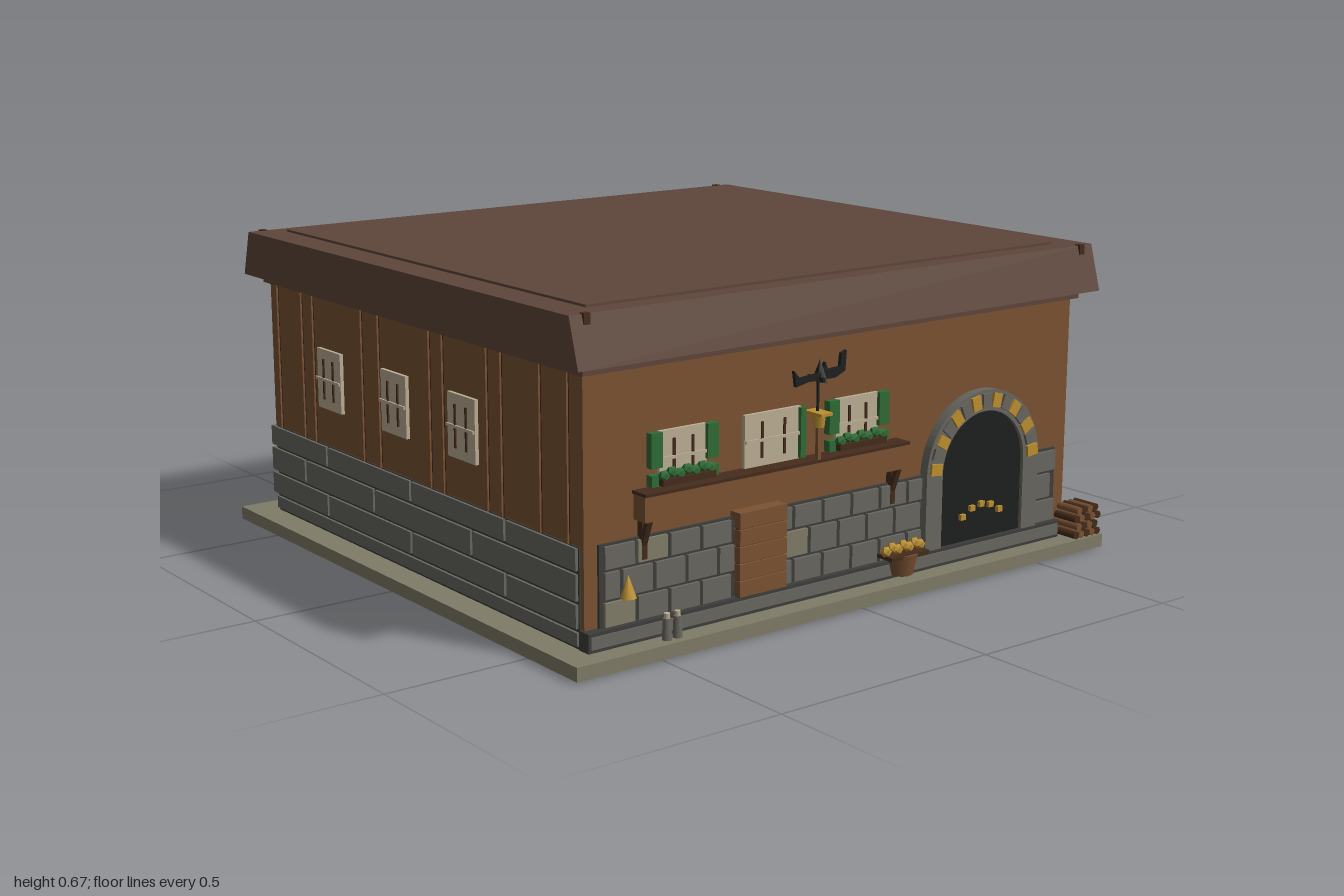
import * as THREE from 'three';

const mat = (name, color) => Object.assign(new THREE.MeshStandardMaterial({ color }), { name });
const M = {
  wood: mat('wall wood', 0x7a5232), dark: mat('dark wood', 0x452c1c), roof: mat('roof brown', 0x5e463a),
  slab: mat('ground stone', 0x807c68), stone: mat('grey stone', 0x686761), mortar: mat('mortar', 0x3d3d3b),
  cream: mat('cream pane', 0xbcae94), green: mat('leaf green', 0x2f6b35), gold: mat('gold', 0xbd9030),
  black: mat('black iron', 0x1e1f1f),
};

function add(parent, name, geo, m, x = 0, y = 0, z = 0) {
  const mesh = new THREE.Mesh(geo, m);
  mesh.name = name;
  mesh.position.set(x, y, z);
  parent.add(mesh);
  return mesh;
}
// Box given by its low and high limits on each axis
function box(parent, name, m, x0, x1, y0, y1, z0, z1) {
  return add(parent, name, new THREE.BoxGeometry(x1 - x0, y1 - y0, z1 - z0), m,
    (x0 + x1) / 2, (y0 + y1) / 2, (z0 + z1) / 2);
}
function group(parent, name) {
  const g = new THREE.Group();
  g.name = name;
  parent.add(g);
  return g;
}
const flat = (pts) => new THREE.Shape(pts.map((p) => new THREE.Vector2(...p)));
const ROWS = [[0.07, 0.116], [0.123, 0.174], [0.181, 0.224]];

// Multi-pane window on the local z = 0 plane
function paneWindow(parent, x, y, w, h) {
  const g = group(parent, 'window');
  g.position.set(x, y, 0);
  box(g, 'windowPane', M.cream, -w / 2, w / 2, -h / 2, h / 2, -0.01, 0.008);
  for (const s of [-0.2, 0.2]) {
    box(g, 'mullion', M.dark, s * w - 0.0025, s * w + 0.0025, -h * 0.34, h * 0.34, 0.008, 0.011);
  }
  box(g, 'crossBar', M.cream, -w / 2, w / 2, -0.003, 0.003, 0.009, 0.013);
  return g;
}

// Plank wall with stone footing; local z = 0 is the wall face
function sideWall(parent, name, half, rotation, distance) {
  const g = group(parent, name);
  g.rotation.y = rotation;
  g.position.set(Math.sin(rotation) * distance, 0, Math.cos(rotation) * distance);
  box(g, 'mortarBand', M.mortar, -half, half, 0.03, 0.226, -0.02, 0.003);
  ROWS.forEach(([y0, y1], r) => {
    const cuts = r % 2 ? [-half, -0.45, -0.15, 0.23, half] : [-half, -0.35, 0, 0.35, half];
    for (let i = 0; i < 4; i++) {
      box(g, 'stoneBlock', M.stone, cuts[i] + 0.004, cuts[i + 1] - 0.004, y0, y1, -0.01, 0.009);
    }
  });
  box(g, 'plinthStone', M.stone, -half, half, 0.037, 0.063, -0.01, 0.009);
  for (const x of [-0.57, -0.46, -0.41, -0.2, -0.13, 0.07, 0.12, 0.28, 0.33, 0.46, 0.55]) {
    box(g, 'wallBatten', M.wood, x - 0.009, x + 0.009, 0.226, 0.56, -0.01, 0.007);
    box(g, 'plankSeam', M.dark, x + 0.009, x + 0.012, 0.226, 0.56, -0.01, 0.003);
  }
  const order = rotation < 0 ? -1 : 1;
  for (const x of [-0.2, 0.06, 0.33]) paneWindow(g, x * order, 0.375, 0.1, 0.13);
}

function buildRoof(root) {
  const g = group(root, 'roof');
  const profile = flat([[-0.645, 0.567], [0.645, 0.567], [0.617, 0.664], [-0.617, 0.664]]);
  const geo = new THREE.ExtrudeGeometry(profile, { depth: 1.35, bevelEnabled: false });
  geo.rotateY(Math.PI / 2).translate(-0.675, 0, 0);
  add(g, 'roofBody', geo, M.roof);
  box(g, 'roofCap', M.roof, -0.605, 0.605, 0.66, 0.669, -0.57, 0.57);
  box(g, 'eaveBand', M.roof, -0.645, 0.645, 0.55, 0.567, -0.615, 0.615);
  for (const x of [-0.64, 0.64]) for (const z of [-0.617, 0.617]) {
    box(g, 'roofPeg', M.dark, x - 0.007, x + 0.007, 0.645, 0.666, z - 0.007, z + 0.007);
  }
}

function buildArch(front) {
  const g = group(front, 'archedDoorway');
  g.position.set(0.37, 0.225, 0);
  const arch = (r) => new THREE.Shape().moveTo(-r, -0.16).lineTo(r, -0.16).lineTo(r, 0)
    .absarc(0, 0, r, 0, Math.PI, false).lineTo(-r, -0.16);
  add(g, 'doorwayVoid', new THREE.ShapeGeometry(arch(0.125), 20), M.black, 0, 0, 0.012);
  const ring = arch(0.163);
  ring.holes.push(arch(0.118));
  add(g, 'archFrame', new THREE.ExtrudeGeometry(ring, { depth: 0.02, bevelEnabled: false, curveSegments: 20 }), M.stone);
  // Alternating voussoirs
  for (let i = 0; i < 15; i++) {
    const a = (i + 0.5) * Math.PI / 15;
    const b = add(g, 'archStone', new THREE.BoxGeometry(0.03, 0.024, 0.012), i % 2 ? M.stone : M.gold,
      Math.cos(a) * 0.141, Math.sin(a) * 0.141, 0.02);
    b.rotation.z = a;
  }
  for (let i = -2; i <= 2; i++) {
    box(g, 'ember', M.gold, i * 0.027 - 0.007, i * 0.027 + 0.007,
      -0.088 - i * i * 0.005, -0.076 - i * i * 0.005, 0.012, 0.02);
  }
}

function buildFront(root) {
  const front = group(root, 'frontWall');
  front.position.z = 0.6;
  // Stone footing with a few warm blocks
  box(front, 'mortarBand', M.mortar, -0.605, 0.21, 0.065, 0.228, -0.01, 0.006);
  box(front, 'mortarBand', M.mortar, 0.52, 0.6, 0.065, 0.228, -0.01, 0.006);
  box(front, 'plinth', M.mortar, -0.64, 0.605, 0.03, 0.068, -0.01, 0.02);
  box(front, 'plinthStone', M.stone, -0.635, 0.6, 0.037, 0.061, -0.01, 0.023);
  ROWS.forEach(([y0, y1], r) => {
    const shift = r % 2 ? 0.035 : 0;
    for (let i = 0; i < 11; i++) {
      const x0 = Math.max(-0.6, -0.6 + i * 0.076 - shift);
      const x1 = Math.min(0.205, -0.6 + (i + 1) * 0.076 - shift);
      if (x1 - x0 < 0.02) continue;
      const m = (i * 5 + r * 3) % 11 === 0 ? M.slab : M.stone;
      box(front, 'frontStone', m, x0 + 0.004, x1 - 0.004, y0, y1, -0.005, 0.013);
    }
    box(front, 'cornerStone', M.stone, 0.53, 0.595 - shift * 0.4, y0, y1, -0.005, 0.013);
  });
  buildArch(front);

  // Plank hatch below the counter
  for (let i = 0; i < 5; i++) {
    box(front, 'hatchPlank', M.wood, -0.292, -0.175, 0.072 + i * 0.034, 0.103 + i * 0.034, 0, 0.03);
  }
  box(front, 'hatchBack', M.dark, -0.29, -0.177, 0.07, 0.238, 0, 0.024);

  // Counter with brackets
  box(front, 'counterFace', M.wood, -0.522, 0.133, 0.262, 0.312, 0, 0.036);
  box(front, 'counterTop', M.dark, -0.525, 0.136, 0.312, 0.318, 0, 0.042);
  for (const x of [-0.507, 0.118]) {
    box(front, 'counterBracket', M.dark, x - 0.006, x + 0.006, 0.185, 0.262, 0, 0.014);
    const strut = box(front, 'counterStrut', M.dark, x - 0.006, x + 0.006, 0.2, 0.27, 0.012, 0.022);
    strut.rotation.x = 0.35;
  }

  // Windows, shutters and planters
  for (const x of [-0.413, -0.195, 0.022]) {
    const w = paneWindow(front, x, 0.37, x === -0.195 ? 0.14 : 0.11, 0.105);
    if (x === -0.195) {
      box(w, 'shutter', M.green, 0.064, 0.078, -0.05, 0.05, 0, 0.016);
      continue;
    }
    for (const s of [-1, 1]) {
      box(w, 'shutter', M.green, s * 0.066 - 0.013, s * 0.066 + 0.013, -0.015, 0.052, 0, 0.016);
      box(w, 'shutterFoot', M.green, s * 0.066 - 0.013, s * 0.066 + 0.013, -0.05, -0.028, 0, 0.016);
    }
    box(w, 'planter', M.dark, -0.062, 0.062, -0.048, -0.035, 0, 0.03);
    for (let i = 0; i < 7; i++) {
      add(w, 'plant', new THREE.IcosahedronGeometry(0.012, 0), M.green, -0.054 + i * 0.018, -0.03 + (i % 2) * 0.005, 0.02);
    }
  }

  // Iron hanging ornament and lantern
  const sign = group(front, 'hangingSign');
  sign.position.set(-0.1, 0.48, 0.026);
  const beast = flat([[-0.065, 0.02], [-0.06, -0.012], [-0.03, -0.006], [0.04, -0.006], [0.065, 0.005],
    [0.068, 0.045], [0.055, 0.04], [0.052, 0.014], [0.02, 0.012], [0.014, 0.028], [0.004, 0.008], [-0.05, 0.004]]);
  add(sign, 'ironSilhouette', new THREE.ExtrudeGeometry(beast, { depth: 0.008, bevelEnabled: false }), M.black);
  add(sign, 'ironFinial', new THREE.ConeGeometry(0.024, 0.045, 4), M.black, 0.005, 0.012, 0.002).scale.x = 0.3;
  box(sign, 'wallArm', M.black, -0.003, 0.003, -0.008, 0, -0.026, 0.02);
  box(sign, 'lanternChain', M.black, -0.007, -0.003, -0.07, -0.005, 0.006, 0.01);
  add(sign, 'lantern', new THREE.CylinderGeometry(0.014, 0.011, 0.028, 8), M.gold, -0.005, -0.083, 0.012);
  box(sign, 'lanternCap', M.gold, -0.02, 0.01, -0.072, -0.066, -0.015, 0.036);
  box(sign, 'lanternDrop', M.wood, -0.008, 0, -0.165, -0.097, 0.006, 0.014);

  // Small wall lamp
  add(front, 'wallLamp', new THREE.ConeGeometry(0.016, 0.045, 8), M.gold, -0.552, 0.145, 0.024);

  // Milk cans
  for (const x of [-0.475, -0.45]) {
    add(front, 'milkCan', new THREE.CylinderGeometry(0.008, 0.01, 0.042, 10), M.stone, x, 0.051, 0.04);
    add(front, 'canNeck', new THREE.CylinderGeometry(0.006, 0.006, 0.012, 10), M.cream, x, 0.076, 0.04);
  }

  // Tub filled with yellow produce
  add(front, 'tub', new THREE.CylinderGeometry(0.035, 0.024, 0.045, 10), M.wood, 0.132, 0.062, 0.032).scale.z = 0.85;
  box(front, 'tubRim', M.dark, 0.082, 0.185, 0.078, 0.086, 0.01, 0.055);
  for (let i = 0; i < 7; i++) {
    add(front, 'produce', new THREE.IcosahedronGeometry(0.012, 0), M.gold, 0.086 + i * 0.0155, 0.094 + (i % 2) * 0.006, 0.032);
  }

  // Firewood stack
  const log = new THREE.CylinderGeometry(0.0085, 0.0085, 0.06, 8).rotateX(Math.PI / 2);
  for (let r = 0; r < 4; r++) for (let c = 0; c < 5 - (r % 2); c++) {
    add(front, 'firewood', log, (r + c) % 2 ? M.wood : M.dark, 0.616 + c * 0.0165 + (r % 2) * 0.008, 0.04 + r * 0.018, 0.034);
  }
}

export function createModel() {
  const root = new THREE.Group();
  root.name = 'cottage';
  // Ground slab and its underside
  box(root, 'groundSlab', M.slab, -0.697, 0.697, 0.002, 0.03, -0.665, 0.665);
  const rim = flat([[-0.697, -0.665], [0.697, -0.665], [0.697, 0.665], [-0.697, 0.665]]);
  rim.holes.push(flat([[-0.62, -0.59], [0.62, -0.59], [0.62, 0.59], [-0.62, 0.59]]));
  add(root, 'undersideRim', new THREE.ShapeGeometry(rim).rotateX(Math.PI / 2), M.stone);
  const floor = flat([[0.62, 0.59], [-0.62, 0.59], [-0.62, -0.59]]);
  add(root, 'undersideFloor', new THREE.ShapeGeometry(floor).rotateX(Math.PI / 2), M.wood);

  box(root, 'wallBody', M.wood, -0.635, 0.635, 0.03, 0.567, -0.6, 0.6);
  sideWall(root, 'rightWall', 0.59, Math.PI / 2, 0.635);
  sideWall(root, 'leftWall', 0.59, -Math.PI / 2, 0.635);
  sideWall(root, 'backWall', 0.63, Math.PI, 0.6);
  // Corner quoins
  for (const x of [-0.617, 0.617]) for (const [y0, y1] of ROWS) {
    box(root, 'cornerQuoin', M.stone, x - 0.026, x + 0.026, y0, y1, -0.608, -0.57);
  }
  buildFront(root);
  buildRoof(root);
  return root;
}
